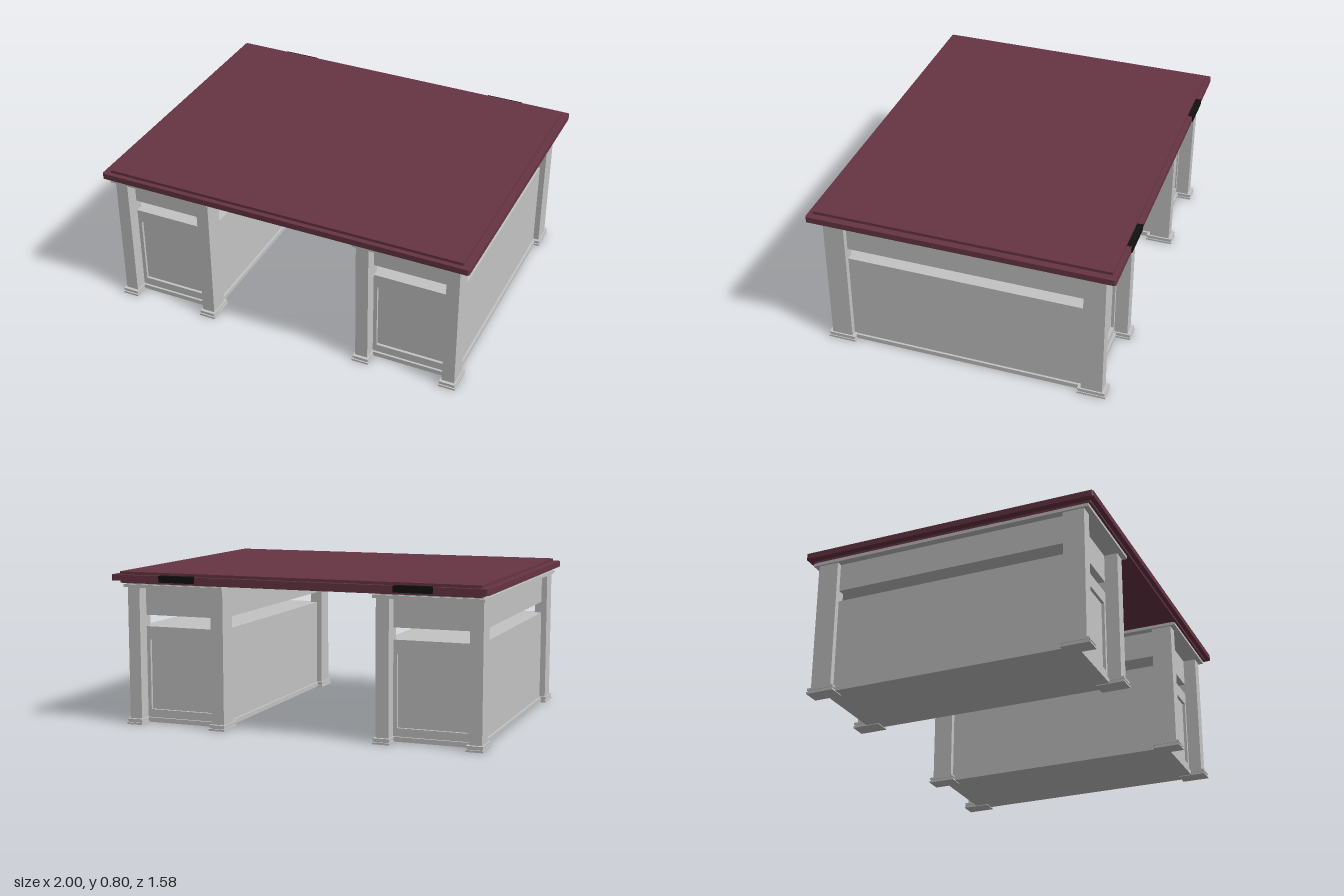
import * as THREE from 'three';

const wood = new THREE.MeshStandardMaterial({ name: 'maroon wood', color: 0x673543 });
const grey = new THREE.MeshStandardMaterial({ name: 'grey paint', color: 0xc4c4c4 });
const black = new THREE.MeshStandardMaterial({ name: 'black mark', color: 0x111111 });

// Box given by its extents on each axis.
function block(parent, name, material, [x0, x1], [y0, y1], [z0, z1]) {
  const mesh = new THREE.Mesh(new THREE.BoxGeometry(x1 - x0, y1 - y0, z1 - z0), material);
  mesh.position.set((x0 + x1) / 2, (y0 + y1) / 2, (z0 + z1) / 2);
  mesh.name = name;
  parent.add(mesh);
  return mesh;
}

// Horizontal slab with slightly rounded corners in plan.
function roundedSlab(parent, name, hx, hz, r, y0, y1) {
  const s = new THREE.Shape();
  s.absarc(hx - r, hz - r, r, 0, Math.PI / 2);
  s.absarc(-hx + r, hz - r, r, Math.PI / 2, Math.PI);
  s.absarc(-hx + r, -hz + r, r, Math.PI, Math.PI * 1.5);
  s.absarc(hx - r, -hz + r, r, Math.PI * 1.5, Math.PI * 2);
  const geo = new THREE.ExtrudeGeometry(s, { depth: y1 - y0, bevelEnabled: false, curveSegments: 4 });
  geo.rotateX(-Math.PI / 2);
  const mesh = new THREE.Mesh(geo, wood);
  mesh.position.y = y0;
  mesh.name = name;
  parent.add(mesh);
}

// Door frame around a shallow recess, facing +z.
function doorFrame(w, y0, y1, depth) {
  const s = new THREE.Shape();
  s.moveTo(-w, y0).lineTo(w, y0).lineTo(w, y1).lineTo(-w, y1).closePath();
  const h = new THREE.Path();
  h.moveTo(-0.183, 0.07).lineTo(-0.183, 0.44).lineTo(0.183, 0.44).lineTo(0.183, 0.07).closePath();
  s.holes.push(h);
  return new THREE.ExtrudeGeometry(s, { depth, bevelEnabled: false });
}

function makePedestal(name) {
  const g = new THREE.Group();
  g.name = name;
  const bx = 0.24, bz = 0.645, fz = 0.66;

  // Lower cabinet and upper rail box, with an open gap between them.
  block(g, 'lowerCabinet', grey, [-bx, bx], [0.028, 0.51], [-bz, bz]);
  block(g, 'upperRail', grey, [-bx, bx], [0.57, 0.722], [-fz, fz]);
  block(g, 'baseSlab', grey, [-bx - 0.012, bx + 0.012], [0.004, 0.028], [-fz - 0.012, fz + 0.012]);

  // Framed doors at both ends.
  const frameGeo = doorFrame(bx, 0.028, 0.51, fz - bz);
  for (const turn of [0, Math.PI]) {
    const door = new THREE.Mesh(frameGeo, grey);
    door.name = 'doorFrame';
    door.rotation.y = turn;
    door.position.z = turn ? -bz : bz;
    g.add(door);
  }

  // Corner posts with stepped feet.
  for (const sx of [-1, 1]) for (const sz of [-1, 1]) {
    const post = new THREE.Group();
    post.name = 'cornerPost';
    post.position.set(sx * 0.2365, 0, sz * 0.675);
    block(post, 'postShaft', grey, [-0.0335, 0.0335], [0.005, 0.722], [-0.055, 0.055]);
    block(post, 'footPlate', grey, [-0.044, 0.044], [0, 0.01], [-0.074, 0.074]);
    block(post, 'footStep', grey, [-0.039, 0.039], [0.01, 0.018], [-0.066, 0.066]);
    block(post, 'footTrim', grey, [-0.042, 0.042], [0.018, 0.03], [-0.072, 0.072]);
    g.add(post);
  }

  // Stepped cap under the table top.
  block(g, 'cap', grey, [-0.28, 0.28], [0.722, 0.738], [-0.757, 0.757]);
  block(g, 'capStep', grey, [-0.27, 0.27], [0.738, 0.746], [-0.745, 0.745]);
  return g;
}

export function createModel() {
  const model = new THREE.Group();
  model.name = 'desk';

  for (const [name, x] of [['rightPedestal', -0.693], ['leftPedestal', 0.668]]) {
    const p = makePedestal(name);
    p.position.x = x;
    model.add(p);
  }

  // Layered table top.
  const top = new THREE.Group();
  top.name = 'tableTop';
  roundedSlab(top, 'topUnderside', 0.963, 0.765, 0.004, 0.745, 0.758);
  roundedSlab(top, 'topEdge', 1, 0.79, 0.012, 0.758, 0.789);
  roundedSlab(top, 'topSurface', 0.963, 0.765, 0.004, 0.789, 0.804);
  model.add(top);

  // Dark marks wrapped over the back edge.
  for (const x of [-0.63, 0.625]) {
    block(model, 'backEdgeMark', black, [x - 0.1, x + 0.1], [0.757, 0.79], [-0.794, -0.789]);
    block(model, 'backEdgeMarkTop', black, [x - 0.095, x + 0.095], [0.788, 0.791], [-0.792, -0.765]);
  }
  return model;
}
